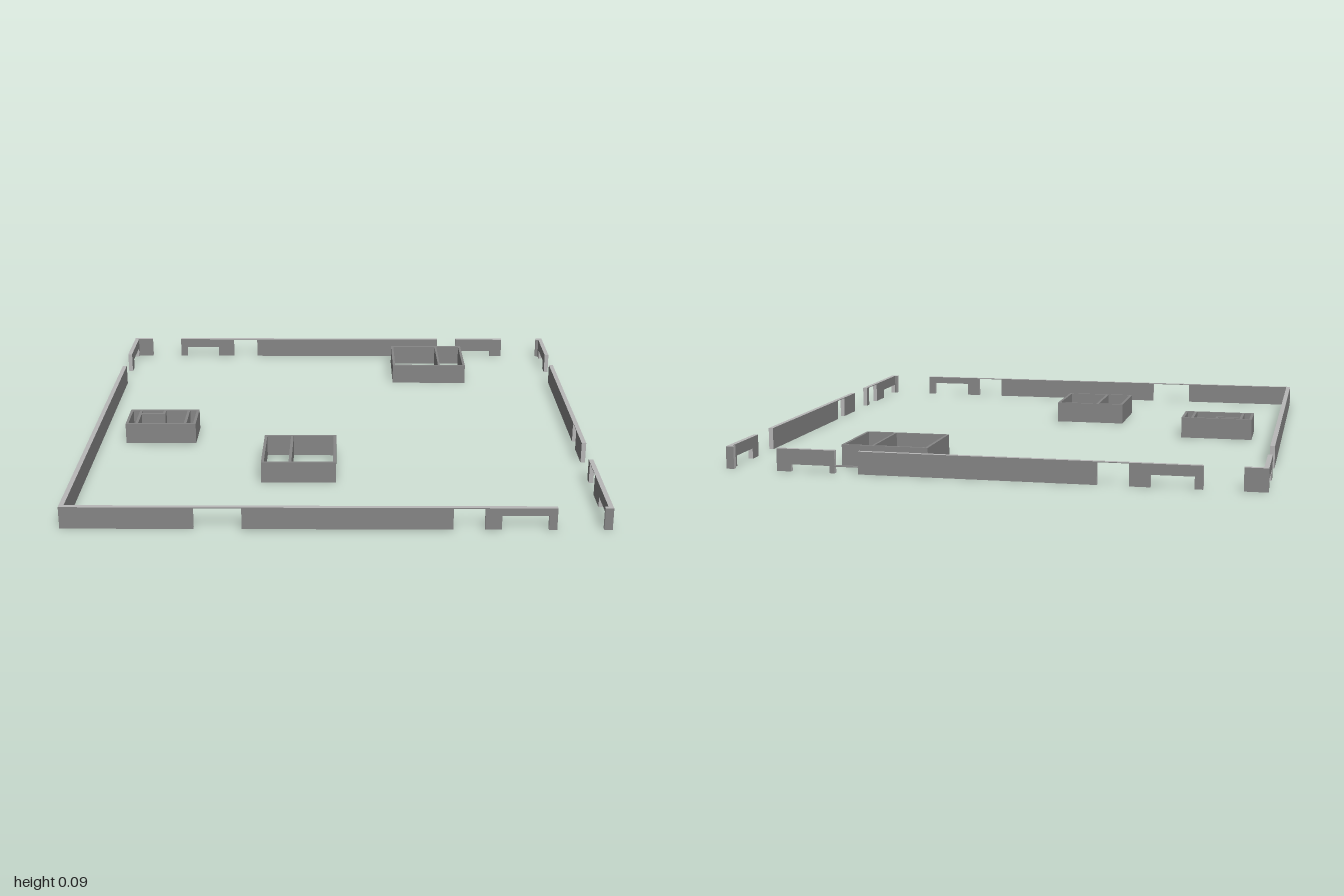
import * as THREE from 'three';

const H = 0.085;   // wall height
const T = 0.018;   // perimeter wall thickness
const P = 0.011;   // room partition thickness
const TOP = H - 0.003; // opening that leaves only a thin cap

const faceMaterial = new THREE.MeshStandardMaterial({ color: 0x868686 });
const edgeMaterial = new THREE.MeshStandardMaterial({ color: 0xb8b8b8 });

// Wall elevation from a to b; each opening is [start, end, height] cut from the bottom
function wallGeometry(a, b, openings) {
  const s = new THREE.Shape();
  s.moveTo(a, 0);
  for (const [p, q, h] of openings) {
    s.lineTo(p, 0);
    s.lineTo(p, h);
    s.lineTo(q, h);
    s.lineTo(q, 0);
  }
  s.lineTo(b, 0);
  s.lineTo(b, H);
  s.lineTo(a, H);
  return new THREE.ExtrudeGeometry(s, { depth: T, bevelEnabled: false });
}

export function createModel() {
  const model = new THREE.Group();
  model.name = 'floorPlanWalls';

  function add(parent, name, geometry, material) {
    const mesh = new THREE.Mesh(geometry, material);
    mesh.name = name;
    parent.add(mesh);
  }

  // Wall running along x, its lower z face at z
  function wallX(name, z, a, b, openings = []) {
    const g = wallGeometry(a, b, openings).translate(0, 0, z);
    add(model, name, g, [faceMaterial, edgeMaterial]);
  }

  // Wall running along z, its upper x face at x
  function wallZ(name, x, a, b, openings = []) {
    const g = wallGeometry(a, b, openings).rotateY(-Math.PI / 2).translate(x, 0, 0);
    add(model, name, g, [faceMaterial, edgeMaterial]);
  }

  function box(parent, name, x0, x1, z0, z1, y0 = 0, y1 = H) {
    const g = new THREE.BoxGeometry(x1 - x0, y1 - y0, z1 - z0);
    g.translate((x0 + x1) / 2, (y0 + y1) / 2, (z0 + z1) / 2);
    add(parent, name, g, faceMaterial);
  }

  // Front wall, stopping short of the side walls so the corners show their faces
  wallX('frontWall', 1 - T, -1, 0.8, [[-0.515, -0.34, TOP], [0.425, 0.54, TOP], [0.6, 0.77, 0.055]]);
  wallX('frontLeftStub', 1 - T, 0.97, 1);

  // Back wall, with a low sill in its window gap
  wallX('backRightStub', -1, -1, -0.915);
  wallX('backWall', -1, -0.775, 0.485, [[-0.745, -0.59, 0.045], [-0.515, -0.4, TOP]]);
  box(model, 'windowSill', 0.485, 0.575, -1, -1 + T, 0.025, 0.028);
  wallX('backWallEnd', -1, 0.575, 0.8, [[0.595, 0.745, 0.027]]);
  wallX('backLeftStub', -1, 0.97, 1);

  // Right side wall (-x)
  wallZ('rightWallCorner', -1 + T, -1 + T, -0.745, [[-0.97, -0.8, 0.042]]);
  wallZ('rightWall', -1 + T, -0.575, 1 - T);

  // Left side wall (+x)
  wallZ('leftWallCorner', 1, -1 + T, -0.745, [[-0.945, -0.8, 0.04]]);
  wallZ('leftWall', 1, -0.598, 0.373, [[0.145, 0.23, TOP]]);
  wallZ('leftWallFront', 1, 0.543, 1 - T, [[0.575, 0.69, TOP], [0.8, 0.975, 0.04]]);

  // Open rectangular room of four partitions
  function room(name, x0, x1, z0, z1) {
    const g = new THREE.Group();
    g.name = name;
    box(g, 'backPartition', x0, x1, z0, z0 + P);
    box(g, 'frontPartition', x0, x1, z1 - P, z1);
    box(g, 'rightPartition', x0, x0 + P, z0 + P, z1 - P);
    box(g, 'leftPartition', x1 - P, x1, z0 + P, z1 - P);
    model.add(g);
    return g;
  }

  const backRoom = room('backRoom', 0.255, 0.59, -0.878, -0.587);
  box(backRoom, 'divider', 0.465, 0.474, -0.867, -0.598);

  const centreRoom = room('centreRoom', -0.293, -0.002, 0.29, 0.58);
  box(centreRoom, 'divider', -0.186, -0.175, 0.301, 0.569);

  const sideRoom = room('sideRoom', -0.878, -0.587, 0, 0.172);
  box(sideRoom, 'rightDivider', -0.838, -0.827, P, 0.161);
  box(sideRoom, 'leftDivider', -0.637, -0.626, P, 0.161);
  box(sideRoom, 'closetFront', -0.827, -0.727, 0.042, 0.053);
  box(sideRoom, 'closetSide', -0.738, -0.727, P, 0.042);

  return model;
}
